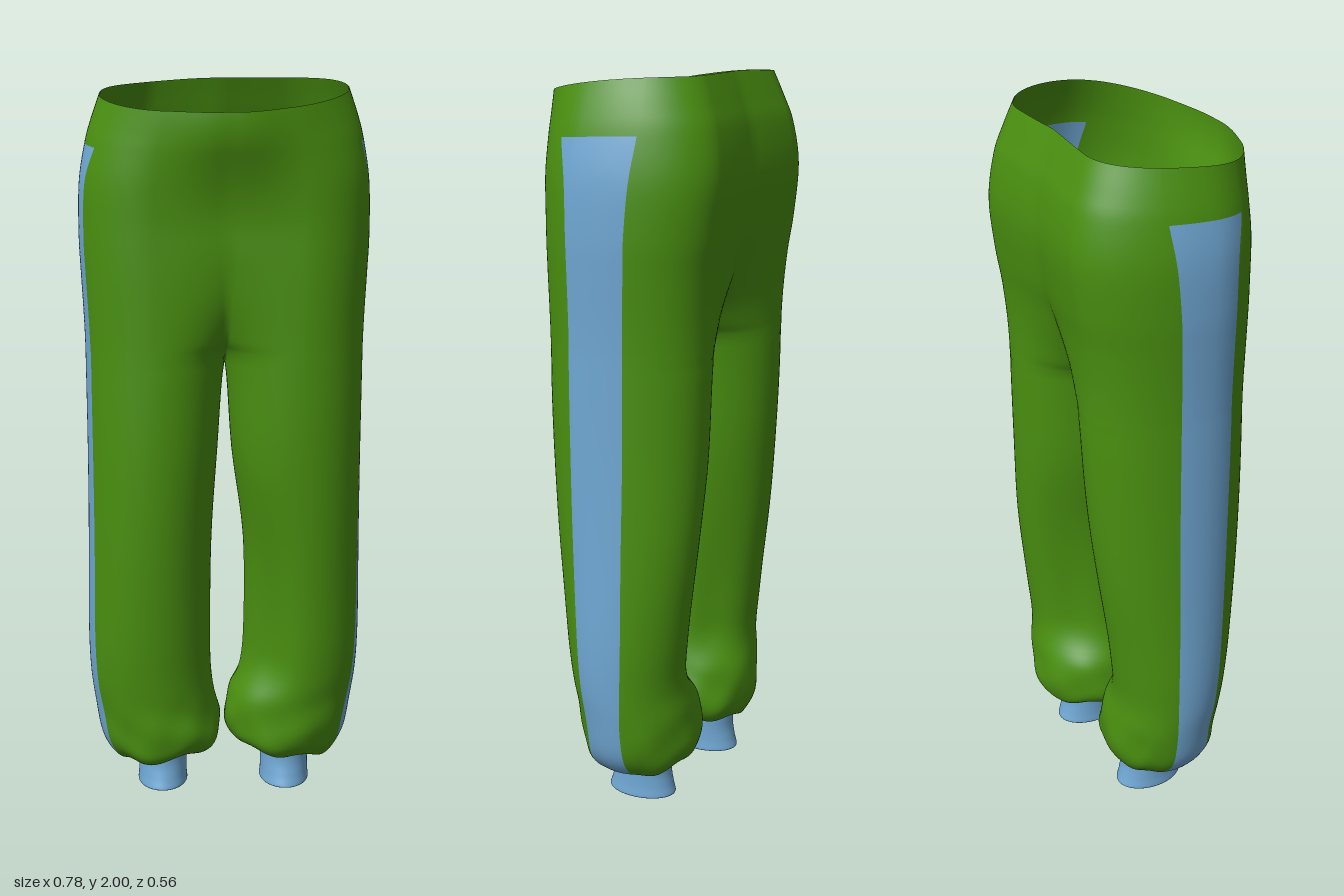
import * as THREE from 'three';

const GREEN = new THREE.MeshStandardMaterial({ color: 0x4a9010, side: THREE.DoubleSide });
const BLUE = new THREE.MeshStandardMaterial({ color: 0x70a8d4, side: THREE.DoubleSide });

// Sections from waist to hem:
// y, outer x, inner x (left leg), inner x (right leg), front z, back z, stripe front z, stripe back z
// A negative inner x means the two halves are joined at the centre.
const LEG = [
  [2.00, 0.332, -0.5, -0.5, 0.198, -0.218, 0.09, -0.12],
  [1.93, 0.355, -0.5, -0.5, 0.202, -0.245, 0.09, -0.125],
  [1.86, 0.372, -0.5, -0.5, 0.207, -0.268, 0.09, -0.125],
  [1.74, 0.389, -0.5, -0.5, 0.214, -0.282, 0.07, -0.112],
  [1.60, 0.392, -0.42, -0.42, 0.214, -0.268, 0.066, -0.10],
  [1.50, 0.388, -0.24, -0.24, 0.214, -0.252, 0.066, -0.095],
  [1.40, 0.383, -0.11, -0.11, 0.213, -0.242, 0.067, -0.09],
  [1.32, 0.38, -0.04, -0.04, 0.212, -0.238, 0.068, -0.088],
  [1.25, 0.379, 0, 0, 0.212, -0.237, 0.07, -0.087],
  [1.00, 0.378, 0.02, 0.02, 0.212, -0.232, 0.07, -0.085],
  [0.75, 0.38, 0.052, 0.036, 0.202, -0.22, 0.067, -0.082],
  [0.50, 0.384, 0.055, 0.04, 0.183, -0.193, 0.06, -0.08],
  [0.36, 0.38, 0.045, 0.038, 0.168, -0.18, 0.055, -0.075],
  [0.26, 0.368, 0.012, 0.026, 0.158, -0.192, 0.05, -0.07],
  [0.17, 0.352, 0.004, 0.008, 0.155, -0.195, 0.05, -0.07],
  [0.12, 0.325, 0.02, 0.022, 0.142, -0.18, 0.045, -0.07],
  [0.10, 0.295, 0.06, 0.06, 0.105, -0.15, 0.035, -0.07],
  [0.14, 0.25, 0.105, 0.105, 0.054, -0.121, 0.02, -0.07],
];
const CUFF = [
  [0.18, 0.25, 0.104, 0.104, 0.055, -0.122, 0.02, -0.07],
  [0.08, 0.246, 0.108, 0.108, 0.05, -0.115, 0.02, -0.07],
  [0.03, 0.246, 0.108, 0.108, 0.06, -0.122, 0.02, -0.07],
  [0.00, 0.248, 0.106, 0.106, 0.07, -0.13, 0.02, -0.07],
  [0.006, 0.24, 0.114, 0.114, 0.061, -0.121, 0.02, -0.07],
  [0.05, 0.238, 0.116, 0.116, 0.045, -0.108, 0.02, -0.07],
];
const STEPS = 5;                       // rows per section
const STRIPE_ROW = 2 * STEPS;          // row where the side stripe starts
const BACK = 36, STRIPE = 10, FRONT = 36;
const COLS = BACK + STRIPE + FRONT;

const { smoothstep: smooth, lerp, clamp } = THREE.MathUtils;
const bell = (v, width) => Math.exp(-Math.pow(v / width, 2));

// Catmull-Rom blend between rows of a section table
function sampleRows(table) {
  const rows = [], last = table.length - 1;
  for (let i = 0; i < last; i++) {
    const [p, a, b, n] = [table[Math.max(i - 1, 0)], table[i], table[i + 1], table[Math.min(i + 2, last)]];
    for (let k = 0; k < STEPS; k++) {
      const t = k / STEPS;
      rows.push(a.map((_, c) => 0.5 * (2 * a[c] + (b[c] - p[c]) * t
        + (2 * p[c] - 5 * a[c] + 4 * b[c] - n[c]) * t * t
        + (3 * a[c] - p[c] - 3 * b[c] + n[c]) * t * t * t)));
    }
  }
  rows.push(table[last]);
  return rows;
}

// Loft one half of the garment; side is +1 for left, -1 for right
function loft(table, side, cloth) {
  const rows = sampleRows(table);
  const pos = [];
  for (const [y0, xo, xiL, xiR, zFront, zBack, sf, sb] of rows) {
    const xi = side > 0 ? xiL : xiR;
    const cx = xi > 0 ? (xo + xi) / 2 : xo / 2;
    const ao = xo - cx, ai = cx - xi;
    // the right leg stands slightly ahead of the left one
    const lead = cloth ? 0.024 * (1 - smooth(y0, 0.5, 1.3)) * smooth(zFront, 0.054, 0.15) : 0;
    const zf = zFront - (side > 0 ? lead : 0), zb = zBack + (side < 0 ? lead : 0);
    const zc = lerp((zf + zb) / 2, 0.025, smooth(y0, 0.2, 1.2));
    const depth = v => v > 0 ? zf - zc : zc - zb;
    const end = xi >= 0 ? Math.PI : Math.acos(-cx / ai);
    const angleAt = z => Math.asin(clamp((z - zc) / depth(z - zc), -1, 1));
    const ahead = side < 0 ? 0.03 * smooth(zFront, 0.054, 0.2) : 0;
    const a0 = angleAt(sb + ahead), a1 = angleAt(sf + ahead);
    for (let j = 0; j <= COLS; j++) {
      const th = j < BACK ? lerp(-end, a0, j / BACK)
        : j < BACK + STRIPE ? lerp(a0, a1, (j - BACK) / STRIPE)
          : lerp(a1, end, (j - BACK - STRIPE) / FRONT);
      const c = Math.cos(th), s = Math.sin(th);
      let x = cx + (c > 0 ? ao : ai) * c, z = zc + depth(s) * s, y = y0;
      if (xi < 0 && (j === 0 || j === COLS)) x = 0;
      if (cloth) {
        // belly bulge, dipped front and slight sideways tilt of the waist
        const top = smooth(y0, 1.7, 2);
        if (s > 0) z += 0.084 * smooth(y0, 1.62, 2) * bell(x, 0.19) * s;
        y -= 0.07 * top * Math.pow(Math.max(0, (z + 0.2) / 0.48), 2);
        if (side < 0) y -= 0.018 * top * smooth(x, 0, 0.34);
        // gathers above the hem, which rises away from the outer side
        const low = 1 - smooth(y0, 0.12, 0.36);
        const w = low * smooth(Math.abs(th), 0.25, 0.8);
        const wave = Math.sin(th * 4 + side + y0 * 40) * 0.55 + Math.sin(th * 9 - y0 * 25) * 0.3;
        // hollows on the inside of the leg above the gathers
        const band = smooth(y0, 0.26, 0.4) * (1 - smooth(y0, 0.45, 1));
        const hollow = 0.14 * bell(th + 2.4, 0.5) + (side > 0 ? 0.18 * bell(th - 2.3, 0.5) : 0);
        const k = 1 + 0.035 * w * wave - band * hollow;
        x = Math.max(0.002 * w, cx + (x - cx) * k);
        z = zc + (z - zc) * k;
        y += low * (0.014 * (1 - c) - 0.006) + 0.007 * w * Math.sin(th * 5 + 2 * side);
      }
      pos.push(side * x, y, z);
    }
  }
  const base = new THREE.BufferGeometry();
  base.setAttribute('position', new THREE.Float32BufferAttribute(pos, 3));
  const stride = COLS + 1;
  const faces = (keep) => {
    const idx = [];
    for (let i = 0; i < rows.length - 1; i++) for (let j = 0; j < COLS; j++) {
      if (!keep(i, j)) continue;
      const a = i * stride + j, b = a + 1, c = a + stride, d = c + 1;
      if (side > 0) idx.push(a, b, c, b, d, c);
      else idx.push(a, c, b, b, c, d);
    }
    return idx;
  };
  base.setIndex(faces(() => true));
  base.computeVertexNormals();
  // smooth the normals across the centre seam and the inner leg seam
  const nor = base.attributes.normal, P = base.attributes.position;
  const u = new THREE.Vector3(), v = new THREE.Vector3();
  for (let i = 0; i < rows.length; i++) {
    const a = i * stride, b = a + COLS;
    u.fromBufferAttribute(nor, a);
    v.fromBufferAttribute(nor, b);
    if (Math.abs(P.getZ(a) - P.getZ(b)) > 1e-3) {
      u.setX(0).normalize();
      v.setX(0).normalize();
    } else {
      u.add(v).normalize();
      v.copy(u);
    }
    nor.setXYZ(a, u.x, u.y, u.z);
    nor.setXYZ(b, v.x, v.y, v.z);
  }
  // cut a mesh out of the shared surface
  return (name, material, keep) => {
    const g = base.clone();
    g.setIndex(faces(keep));
    const mesh = new THREE.Mesh(g, material);
    mesh.name = name;
    return mesh;
  };
}

export function createModel() {
  const group = new THREE.Group();
  group.name = 'trousers';
  const inStripe = (i, j) => i >= STRIPE_ROW && j >= BACK && j < BACK + STRIPE;
  for (const [label, side] of [['left', 1], ['right', -1]]) {
    const half = new THREE.Group();
    half.name = label + 'Half';
    const cut = loft(LEG, side, true);
    half.add(cut(label + 'Leg', GREEN, (i, j) => !inStripe(i, j)));
    half.add(cut(label + 'SideStripe', BLUE, inStripe));
    half.add(loft(CUFF, side, false)(label + 'AnkleCuff', BLUE, () => true));
    group.add(half);
  }
  return group;
}
